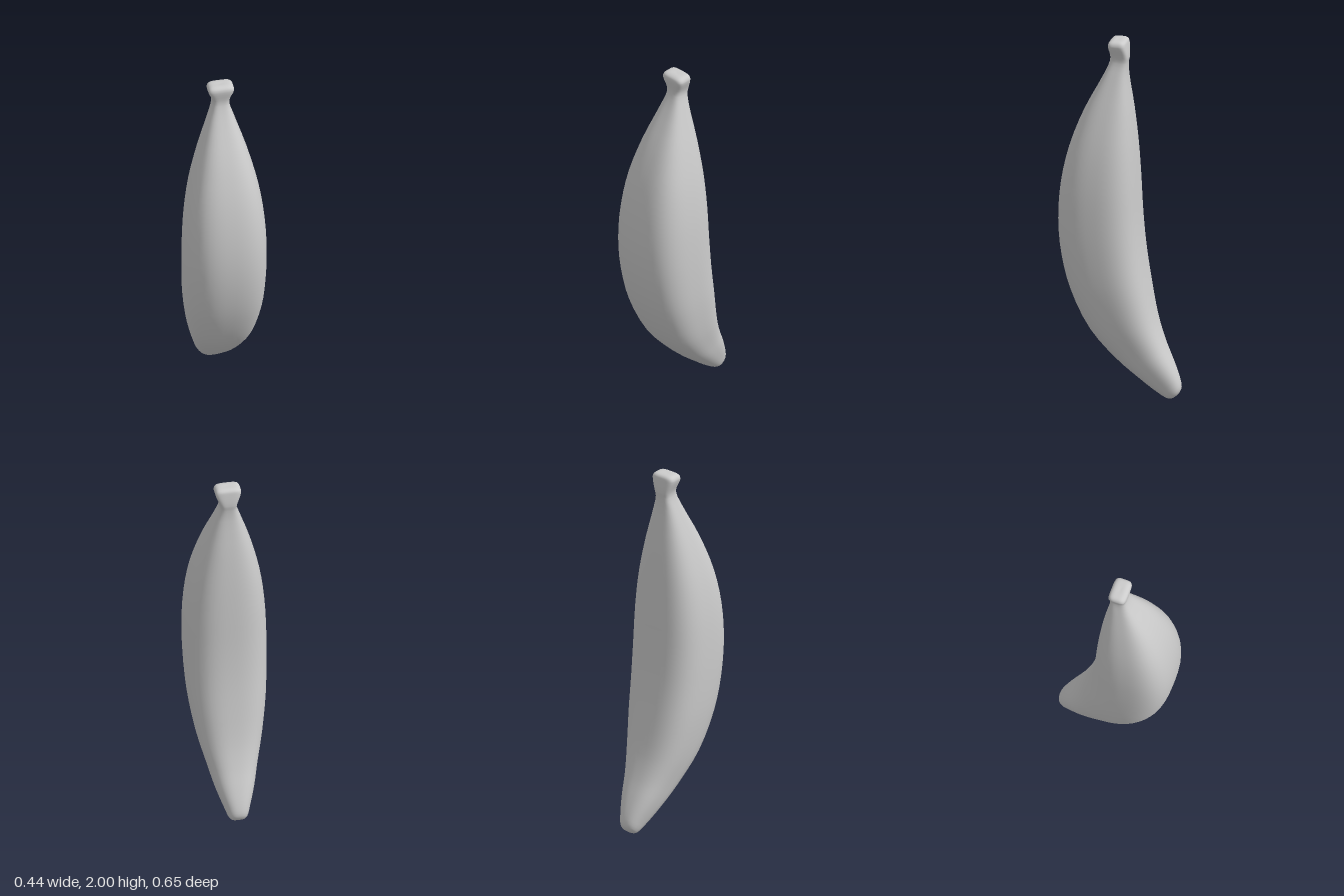
import * as THREE from 'three';

// Cross-sections from the lower tip to the stem:
// [front z, front y, back z, back y, half width, corner exponent]
const SECTIONS = [
  [-0.30, 0.015, -0.30, 0.015, 0, 2.4],
  [-0.28, 0.003, -0.317, 0.033, 0.03, 2.4],
  [-0.255, 0.002, -0.327, 0.062, 0.048, 2.4],
  [-0.20, 0.035, -0.315, 0.115, 0.068, 2.5],
  [-0.10, 0.115, -0.278, 0.205, 0.102, 2.6],
  [0.02, 0.22, -0.235, 0.30, 0.132, 2.7],
  [0.16, 0.385, -0.19, 0.43, 0.172, 2.8],
  [0.26, 0.60, -0.15, 0.62, 0.203, 2.9],
  [0.31, 0.80, -0.12, 0.81, 0.215, 2.9],
  [0.327, 1.0, -0.102, 1.0, 0.217, 2.9],
  [0.313, 1.2, -0.092, 1.2, 0.208, 2.9],
  [0.27, 1.4, -0.08, 1.4, 0.181, 2.9],
  [0.195, 1.6, -0.062, 1.6, 0.132, 2.9],
  [0.092, 1.8, -0.037, 1.8, 0.068, 3.2],
  [0.058, 1.88, -0.037, 1.87, 0.046, 3.6],
  [0.055, 1.915, -0.042, 1.905, 0.049, 4],
  [0.063, 1.97, -0.035, 1.97, 0.07, 4.5],
  [0.058, 1.99, -0.03, 1.99, 0.064, 4.5],
  [0.04, 2.0, -0.012, 2.0, 0.045, 4],
  [0.015, 2.0, 0.015, 2.0, 0, 4],
];
const SIDES = 48;
const STEPS = 3; // rings between neighbouring sections

function fruitGeometry() {
  // Smooth rails along the front and back ridges; x carries width and exponent
  const front = new THREE.CatmullRomCurve3(SECTIONS.map((s) => new THREE.Vector3(s[4], s[1], s[0])));
  const back = new THREE.CatmullRomCurve3(SECTIONS.map((s) => new THREE.Vector3(s[5] * 0.05, s[3], s[2])));
  const rings = (SECTIONS.length - 1) * STEPS;
  const positions = [];
  const indices = [];

  for (let i = 0; i <= rings; i++) {
    const f = front.getPoint(i / rings);
    const b = back.getPoint(i / rings);
    const n = b.x / 0.05;
    for (let j = 0; j < SIDES; j++) {
      const a = (j / SIDES) * Math.PI * 2;
      const c = Math.cos(a);
      const s = Math.sin(a);
      // Rounded-square outline
      const r = Math.pow(Math.abs(c) ** n + Math.abs(s) ** n, -1 / n);
      const k = (1 + r * s) / 2;
      positions.push(f.x * r * c, b.y + (f.y - b.y) * k, b.z + (f.z - b.z) * k);
    }
  }
  for (let i = 0; i < rings; i++) {
    for (let j = 0; j < SIDES; j++) {
      const a = i * SIDES + j;
      const b = i * SIDES + ((j + 1) % SIDES);
      if (i < rings - 1) indices.push(a, a + SIDES, b + SIDES);
      else indices.push(a, a + SIDES, b);
      if (i > 0 && i < rings - 1) indices.push(a, b + SIDES, b);
    }
  }
  const geometry = new THREE.BufferGeometry();
  geometry.setAttribute('position', new THREE.Float32BufferAttribute(positions, 3));
  geometry.setIndex(indices);
  geometry.computeVertexNormals();
  return geometry;
}

export function createModel() {
  const group = new THREE.Group();
  group.name = 'banana';
  const peel = new THREE.Mesh(fruitGeometry(), new THREE.MeshStandardMaterial({ color: 0xcccccc }));
  peel.name = 'peelWithStem';
  group.add(peel);
  return group;
}
